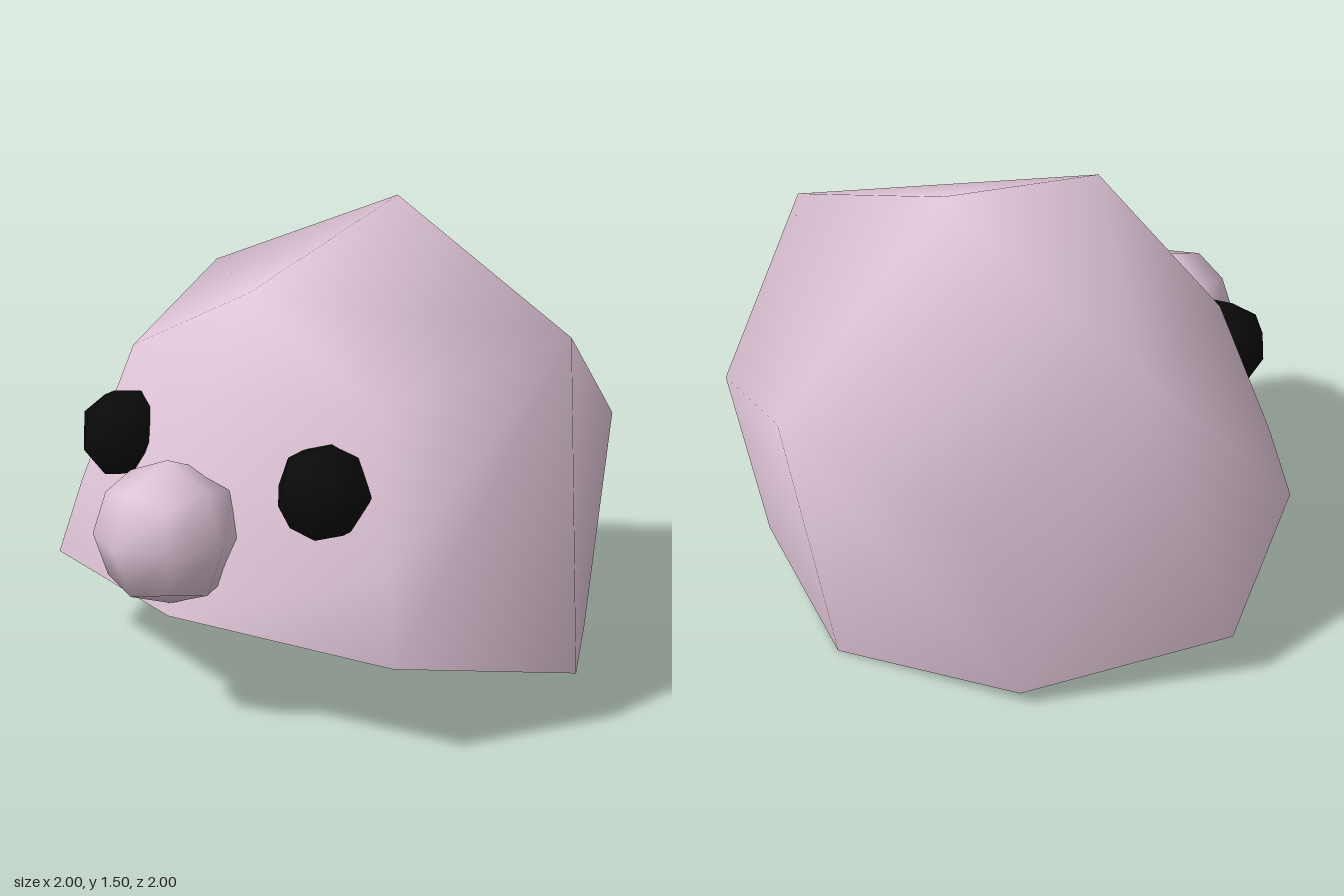
import * as THREE from 'three';
import { mergeVertices } from 'three/addons/utils/BufferGeometryUtils.js';

// Corner points of the +z half: rim R, upper ring U, cheek C, top T, snout line N, mouth roof P and Q
const P = {
  R0: [0.81, 0, 0], R1: [0.58, 0.05, 0.61], R2: [0.01, 0.175, 1], R3: [-0.57, 0.3, 0.75], R4: [-0.78, 0.33, 0],
  U0: [1, 1, 0], U1: [0.74, 0.77, 0.58], U2: [0.23, 1.17, 0.78],
  C: [-0.4, 1.03, 0.54], L: [-0.52, 0.56, 0.68],
  T: [0.3, 1.5, 0], T2: [-0.4, 1.3, 0], N1: [-0.75, 0.54, 0], N2: [-0.63, 0.98, 0],
  P: [0.15, 0.35, 0], Q: [-0.38, 0.39, 0],
};

// Faces of one half, mirrored across z, with welded smooth normals
function mirroredShell(faces) {
  const pos = [];
  for (const side of [1, -1]) {
    for (const face of faces) {
      const names = face.split(' ');
      if (side < 0) names.push(names.splice(0, 1)[0]);
      const pts = face.split(' ').map((n) => [P[n][0], P[n][1], P[n][2] * side]);
      for (let i = 1; i < pts.length - 1; i++) {
        const tri = [pts[0], pts[i], pts[i + 1]];
        if (side < 0) tri.reverse();
        pos.push(...tri.flat());
      }
    }
  }
  const raw = new THREE.BufferGeometry();
  raw.setAttribute('position', new THREE.Float32BufferAttribute(pos, 3));
  const geo = mergeVertices(raw);
  geo.computeVertexNormals();
  return geo;
}

// Box with each side split in two, pushed out to a ball
function boxBall(r) {
  let geo = new THREE.BoxGeometry(1, 1, 1, 2, 2, 2);
  geo.deleteAttribute('uv');
  geo.deleteAttribute('normal');
  geo = mergeVertices(geo);
  const p = geo.attributes.position;
  const v = new THREE.Vector3();
  for (let i = 0; i < p.count; i++) {
    v.fromBufferAttribute(p, i).setLength(r);
    p.setXYZ(i, v.x, v.y, v.z);
  }
  geo.computeVertexNormals();
  return geo;
}

export function createModel() {
  const group = new THREE.Group();
  const mat = (color, side = THREE.FrontSide) => new THREE.MeshStandardMaterial({ color, side });
  const add = (name, geo, material, pos = [0, 0, 0]) => {
    const mesh = new THREE.Mesh(geo, material);
    mesh.name = name;
    mesh.position.set(...pos);
    group.add(mesh);
    return mesh;
  };
  const pink = 0xe0c5d8;

  // Tilted hollow head, open underneath
  add('head', mirroredShell([
    'R1 U1 U2 R2', 'R3 R2 U2', 'R3 U2 L', 'L U2 C',
    'R1 R0 U0 U1', 'U2 U1 U0 T', 'T2 C U2 T',
    'R4 R3 L N1', 'N1 L C N2', 'N2 C T2',
  ]), mat(pink, THREE.DoubleSide));

  // Vaulted mouth under the front half
  add('mouth', mirroredShell(['P R2 R3 Q', 'Q R3 R4']), mat(0x96600a, THREE.DoubleSide));

  // Round nose
  add('nose', boxBall(0.235), mat(pink), [-0.768, 0.605, 0]);

  // Pair of eyes
  const black = mat(0x0a0a0a);
  for (const s of [1, -1]) {
    const eye = add(s > 0 ? 'leftEye' : 'rightEye', boxBall(0.152), black, [-0.535, 0.78, 0.44 * s]);
    eye.rotation.set(0, 0.35 * s, 0.25);
  }
  return group;
}
